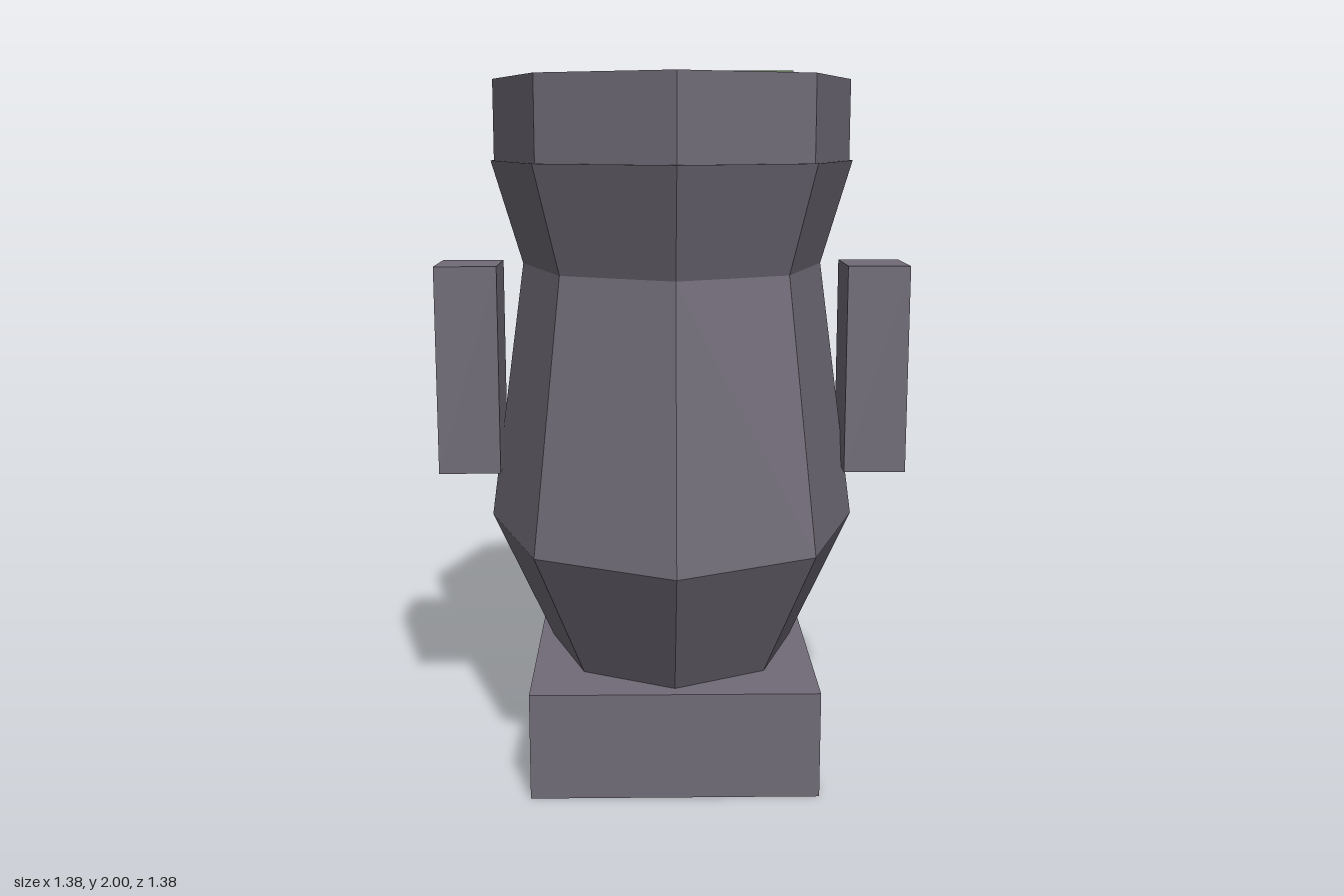
import * as THREE from 'three';

export function createModel() {
  const model = new THREE.Group();
  const stone = new THREE.MeshStandardMaterial({ color: 0x706b77 });
  stone.name = 'greyStone';
  const moss = new THREE.MeshStandardMaterial({ color: 0x587046 });
  moss.name = 'mossGreen';

  const add = (name, geometry, material, x = 0, y = 0, z = 0) => {
    const mesh = new THREE.Mesh(geometry, material);
    mesh.name = name;
    mesh.position.set(x, y, z);
    model.add(mesh);
    return mesh;
  };

  // Faceted eight-sided ring profile, stretched front to back
  const DEPTH = 1.263;
  const octagon = (profile) => {
    const points = profile.map(([r, y]) => new THREE.Vector2(r, y));
    const geometry = new THREE.LatheGeometry(points, 8).scale(1, 1, DEPTH).toNonIndexed();
    geometry.computeVertexNormals();
    return geometry;
  };

  // Square foot
  add('base', new THREE.BoxGeometry(0.81, 0.305, 1.02), stone, 0, 0.1525, 0);

  // Belly, shoulder and flared neck
  add('body', octagon([
    [0, 0.305], [0.367, 0.305], [0.546, 0.69], [0.44, 1.455], [0.53, 1.755], [0, 1.755],
  ]), stone);

  // Straight rim, slightly inset from the neck
  add('rim', octagon([[0.52, 1.755], [0.52, 1.987], [0, 1.987]]), stone);

  // Side handles
  for (const [name, side] of [['leftHandle', 1], ['rightHandle', -1]]) {
    add(name, new THREE.BoxGeometry(0.182, 0.612, 0.228), stone, side * 0.6, 1.149, 0);
  }

  // Off-centre moss patch on top
  add('mossPatch', new THREE.BoxGeometry(0.39, 0.015, 0.412), moss, 0.129, 1.9925, 0.08);

  return model;
}
